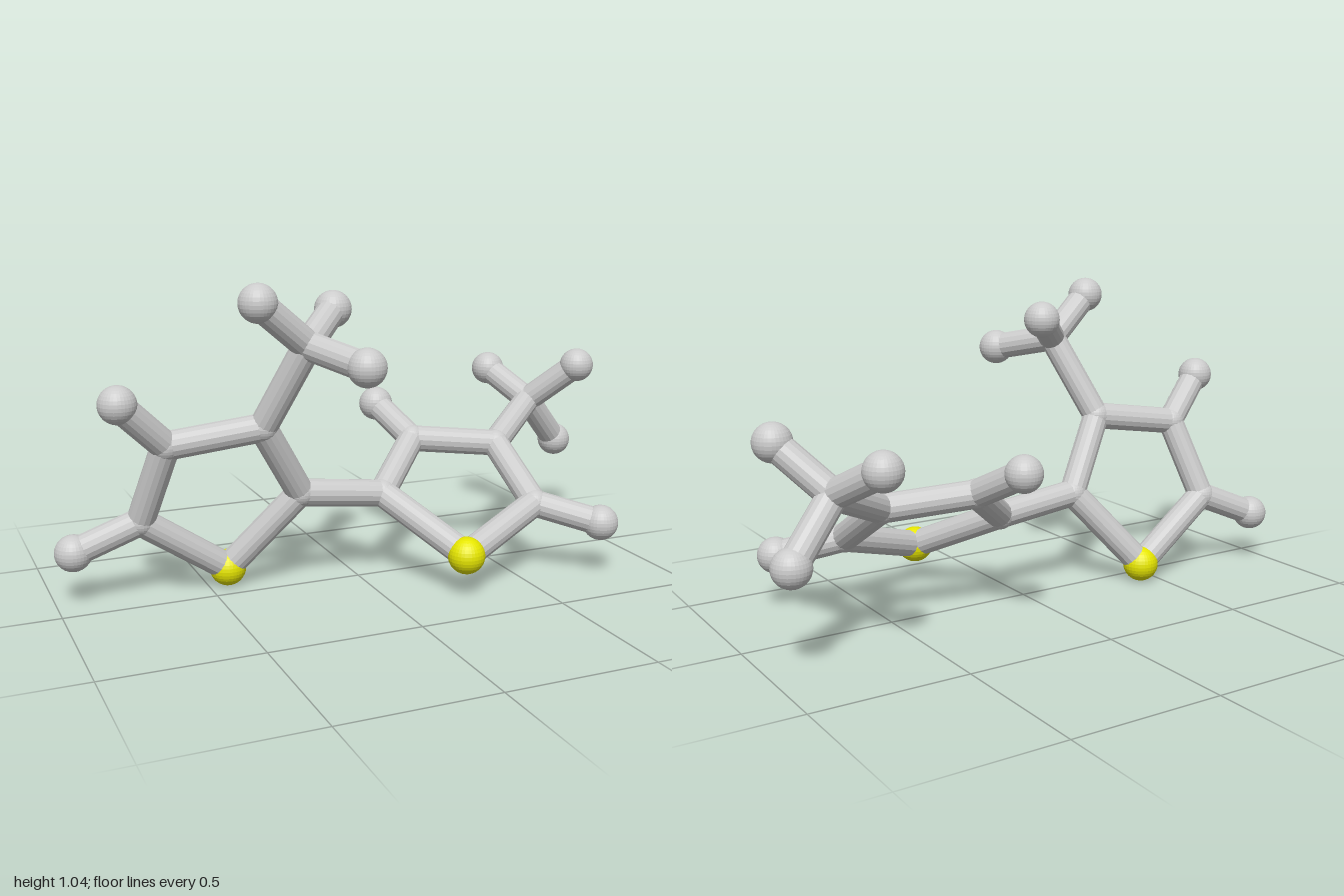
import * as THREE from 'three';

const BOND_RADIUS = 0.046;
const RADII = { carbon: 0.049, hydrogen: 0.06, sulfur: 0.061 };

// Each half: a five-membered ring with a methyl group. Entries are [element, x, y, z].
const halves = {
  leftHalf: {
    sulfur: ['sulfur', 0.245, 0.14, 0.32],
    linkCarbon: ['carbon', 0.08, 0.29, 0.02],
    upperCarbon: ['carbon', 0.27, 0.425, -0.15],
    methylRingCarbon: ['carbon', 0.56, 0.40, -0.065],
    lowerCarbon: ['carbon', 0.57, 0.245, 0.195],
    upperHydrogen: ['hydrogen', 0.215, 0.52, -0.34],
    lowerHydrogen: ['hydrogen', 0.76, 0.187, 0.315],
    methylCarbon: ['carbon', 0.785, 0.51, -0.225],
    methylHydrogenA: ['hydrogen', 0.91, 0.653, -0.095],
    methylHydrogenB: ['hydrogen', 0.94, 0.333, -0.278],
    methylHydrogenC: ['hydrogen', 0.715, 0.605, -0.407],
    bonds: [
      ['sulfur', 'linkCarbon'], ['linkCarbon', 'upperCarbon'],
      ['upperCarbon', 'methylRingCarbon'], ['methylRingCarbon', 'lowerCarbon'],
      ['lowerCarbon', 'sulfur'],
    ],
  },
  rightHalf: {
    sulfur: ['sulfur', -0.435, 0.062, -0.09],
    linkCarbon: ['carbon', -0.215, 0.325, 0.02],
    methylRingCarbon: ['carbon', -0.365, 0.572, 0.092],
    upperCarbon: ['carbon', -0.665, 0.53, 0.043],
    lowerCarbon: ['carbon', -0.73, 0.265, -0.06],
    upperHydrogen: ['hydrogen', -0.82, 0.682, 0.095],
    lowerHydrogen: ['hydrogen', -0.94, 0.176, -0.097],
    methylCarbon: ['carbon', -0.258, 0.843, 0.213],
    methylHydrogenA: ['hydrogen', -0.427, 0.984, 0.252],
    methylHydrogenB: ['hydrogen', -0.113, 0.929, 0.06],
    methylHydrogenC: ['hydrogen', -0.145, 0.798, 0.407],
    bonds: [
      ['sulfur', 'linkCarbon'], ['linkCarbon', 'methylRingCarbon'],
      ['methylRingCarbon', 'upperCarbon'], ['upperCarbon', 'lowerCarbon'],
      ['lowerCarbon', 'sulfur'],
    ],
  },
};

// Bonds outside the ring, the same in both halves
const sideBonds = [
  ['upperCarbon', 'upperHydrogen'], ['lowerCarbon', 'lowerHydrogen'],
  ['methylRingCarbon', 'methylCarbon'], ['methylCarbon', 'methylHydrogenA'],
  ['methylCarbon', 'methylHydrogenB'], ['methylCarbon', 'methylHydrogenC'],
];

export function createModel() {
  const model = new THREE.Group();
  model.name = 'molecule';
  const grey = new THREE.MeshStandardMaterial({ color: 0xcccccc, flatShading: true });
  const yellow = new THREE.MeshStandardMaterial({ color: 0xe6e600, flatShading: true });
  const ball = new THREE.SphereGeometry(1, 32, 16);
  const rod = new THREE.CylinderGeometry(BOND_RADIUS, BOND_RADIUS, 1, 16);
  const up = new THREE.Vector3(0, 1, 0);
  const position = ([, x, y, z]) => new THREE.Vector3(x, y, z);

  function addAtom(parent, name, atom) {
    const mesh = new THREE.Mesh(ball, atom[0] === 'sulfur' ? yellow : grey);
    mesh.name = name;
    mesh.position.copy(position(atom));
    mesh.scale.setScalar(RADII[atom[0]]);
    parent.add(mesh);
  }

  function addBond(parent, name, from, to) {
    const a = position(from);
    const b = position(to);
    const mesh = new THREE.Mesh(rod, grey);
    mesh.name = name;
    mesh.position.lerpVectors(a, b, 0.5);
    mesh.scale.y = a.distanceTo(b);
    mesh.quaternion.setFromUnitVectors(up, b.sub(a).normalize());
    parent.add(mesh);
  }

  for (const [halfName, { bonds, ...atoms }] of Object.entries(halves)) {
    const half = new THREE.Group();
    half.name = halfName;
    for (const [name, atom] of Object.entries(atoms)) addAtom(half, name, atom);
    for (const [a, b] of [...bonds, ...sideBonds]) {
      addBond(half, `bond ${a} to ${b}`, atoms[a], atoms[b]);
    }
    model.add(half);
  }

  // Bond joining the two rings
  addBond(model, 'linkBond', halves.leftHalf.linkCarbon, halves.rightHalf.linkCarbon);
  return model;
}
